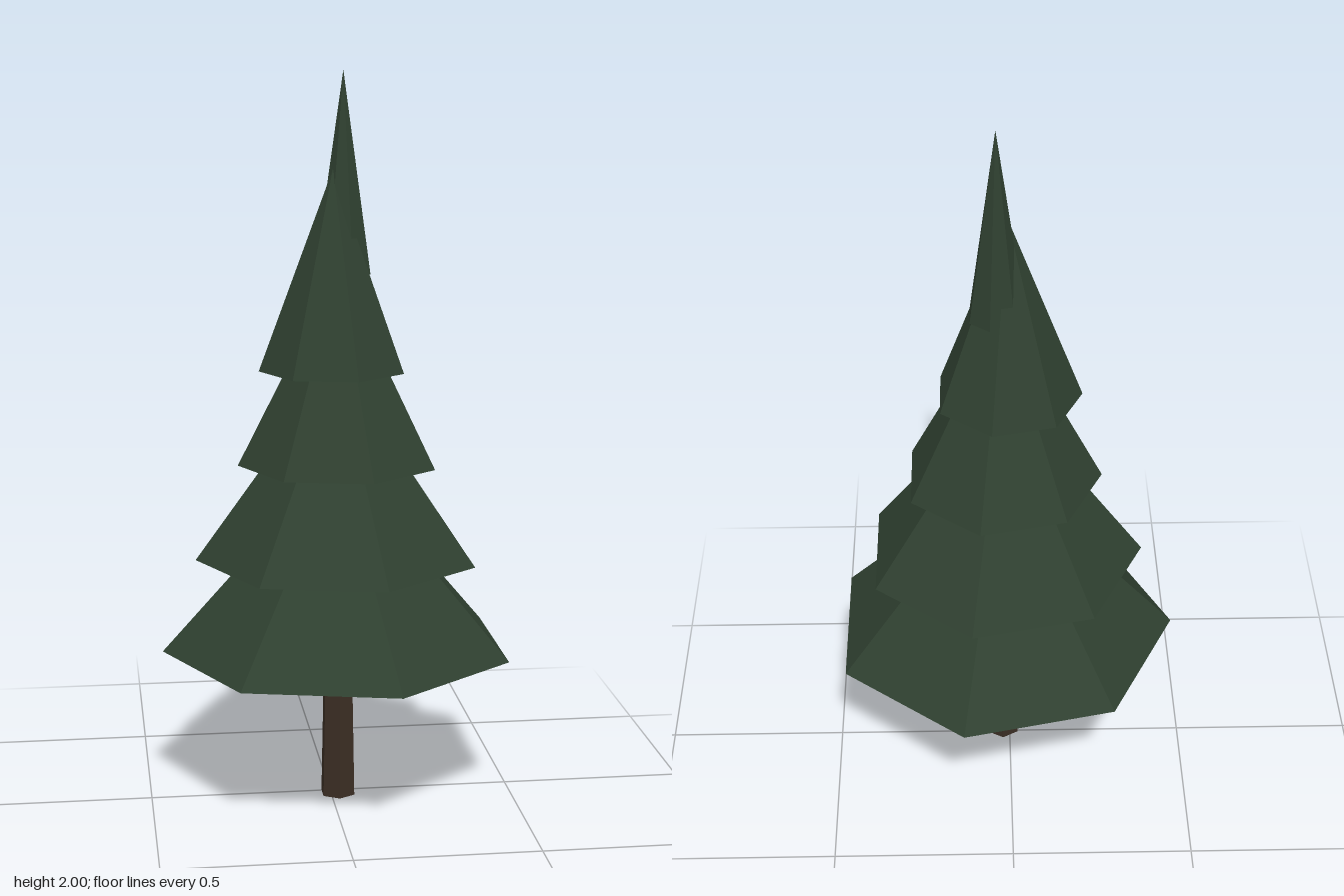
import * as THREE from 'three';

export function createModel() {
  const model = new THREE.Group();
  model.name = 'pineTree';

  const needles = new THREE.MeshStandardMaterial({ color: 0x2f4030, flatShading: true });
  needles.name = 'dark green needles';
  const bark = new THREE.MeshStandardMaterial({ color: 0x3a2d23, flatShading: true });
  bark.name = 'brown bark';

  // Trunk: slightly tapered hexagonal post, running up into the lowest tier
  const trunk = new THREE.Mesh(new THREE.CylinderGeometry(0.038, 0.05, 0.6, 6), bark);
  trunk.name = 'trunk';
  trunk.position.set(0.02, 0.3, 0.02);
  model.add(trunk);

  // Foliage: seven-sided closed cones, each a little off centre
  // [radius, base height, x, z]
  const tiers = [
    [0.487, 0.425, 0.024, 0],
    [0.39, 0.685, 0.02, 0.012],
    [0.274, 0.945, 0.0215, 0.01],
    [0.2, 1.205, 0.005, 0.023],
    [0.077, 1.463, 0.035, 0.004],
  ];
  const height = 0.537;
  tiers.forEach(([radius, base, x, z], i) => {
    const cone = new THREE.ConeGeometry(radius, height, 7, 1, false, -Math.PI / 2);
    const tier = new THREE.Mesh(cone, needles);
    tier.name = `foliageTier${i + 1}`;
    tier.position.set(x, base + height / 2, z);
    model.add(tier);
  });

  return model;
}
